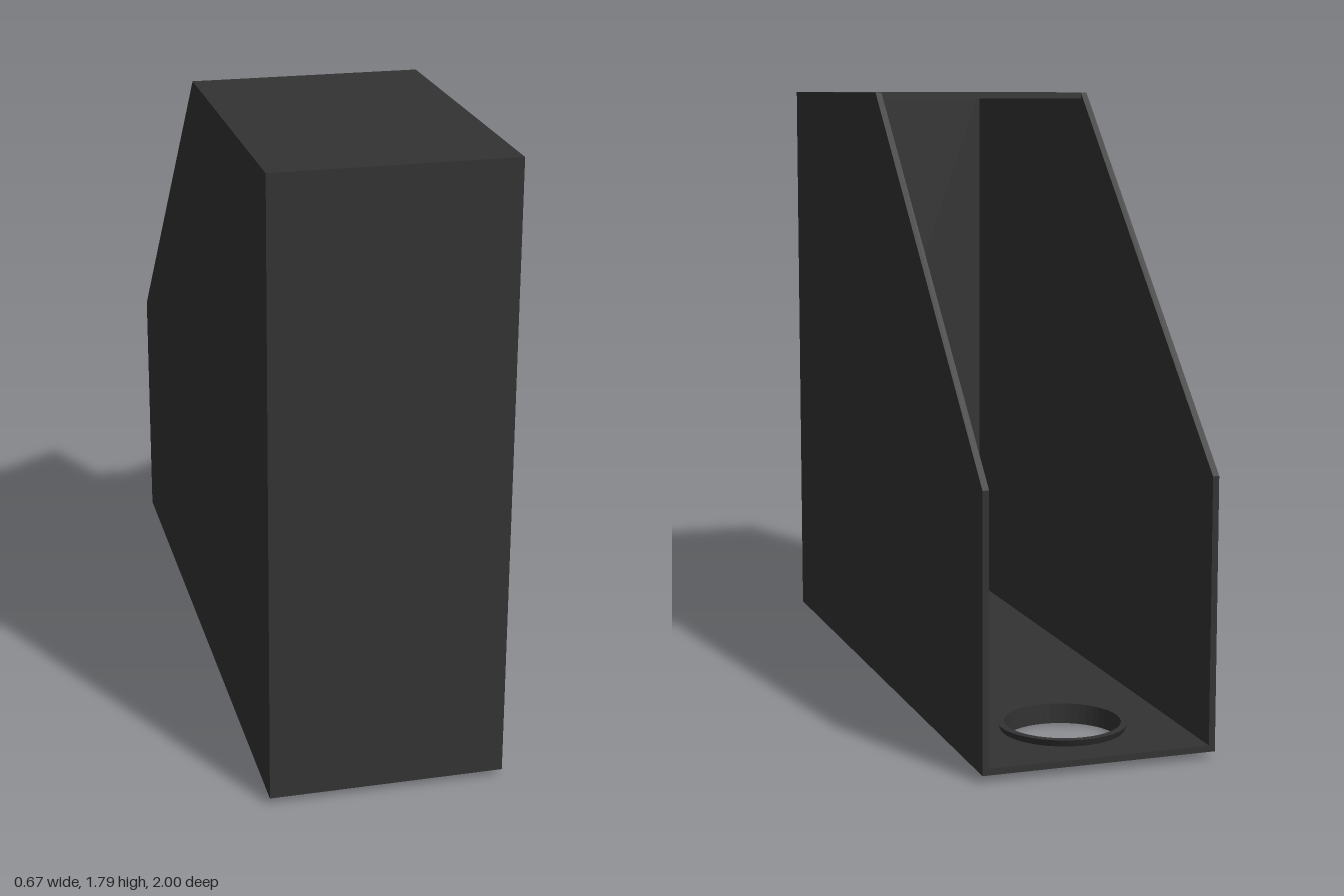
import * as THREE from 'three';

export function createModel() {
  const group = new THREE.Group();
  const material = new THREE.MeshStandardMaterial({ color: 0x333333 });
  const W = 0.665, T = 0.018, BASE = 0.02, TOP = 1.79;
  const holeX = 0.005, holeZ = -0.72;

  const add = (name, geometry, x = 0, y = 0, z = 0) => {
    const mesh = new THREE.Mesh(geometry, material);
    mesh.name = name;
    mesh.position.set(x, y, z);
    group.add(mesh);
  };

  // Side panels with the sloping rear corner (profile drawn in z, y)
  const profile = new THREE.Shape([[1, BASE], [1, TOP], [0, TOP], [-1, 0.78], [-1, BASE]]
    .map(([z, y]) => new THREE.Vector2(z, y)));
  const side = new THREE.ExtrudeGeometry(profile, { depth: T, bevelEnabled: false });
  side.rotateY(-Math.PI / 2);
  add('leftSide', side, W / 2);
  add('rightSide', side, -W / 2 + T);

  // Closed front and the half-length top
  const inner = W - 2 * T;
  add('frontWall', new THREE.BoxGeometry(inner, TOP - BASE, T), 0, (TOP + BASE) / 2, 1 - T / 2);
  add('topPanel', new THREE.BoxGeometry(inner, T, 1 - T), 0, TOP - T / 2, (1 - T) / 2);

  // Floor with the round finger hole near the open back
  const floor = new THREE.Shape([[-inner / 2, -1 + T], [inner / 2, -1 + T], [inner / 2, 1], [-inner / 2, 1]]
    .map(([x, y]) => new THREE.Vector2(x, y)));
  floor.holes.push(new THREE.Path().absarc(holeX, -holeZ, 0.168, 0, Math.PI * 2, true));
  const floorGeometry = new THREE.ExtrudeGeometry(floor, { depth: T, bevelEnabled: false, curveSegments: 48 });
  floorGeometry.rotateX(-Math.PI / 2);
  add('floor', floorGeometry, 0, BASE);

  // Grommet lining the hole, its lips standing proud of the floor on both faces
  const h = 2 * BASE + T;
  const ring = new THREE.LatheGeometry([
    [0.163, 0], [0.184, 0], [0.174, BASE], [0.174, BASE + T], [0.184, h], [0.163, h], [0.163, 0],
  ].map(([r, y]) => new THREE.Vector2(r, y)), 48);
  const flatRing = ring.toNonIndexed();
  flatRing.computeVertexNormals();
  add('holeGrommet', flatRing, holeX, 0, holeZ);

  return group;
}
